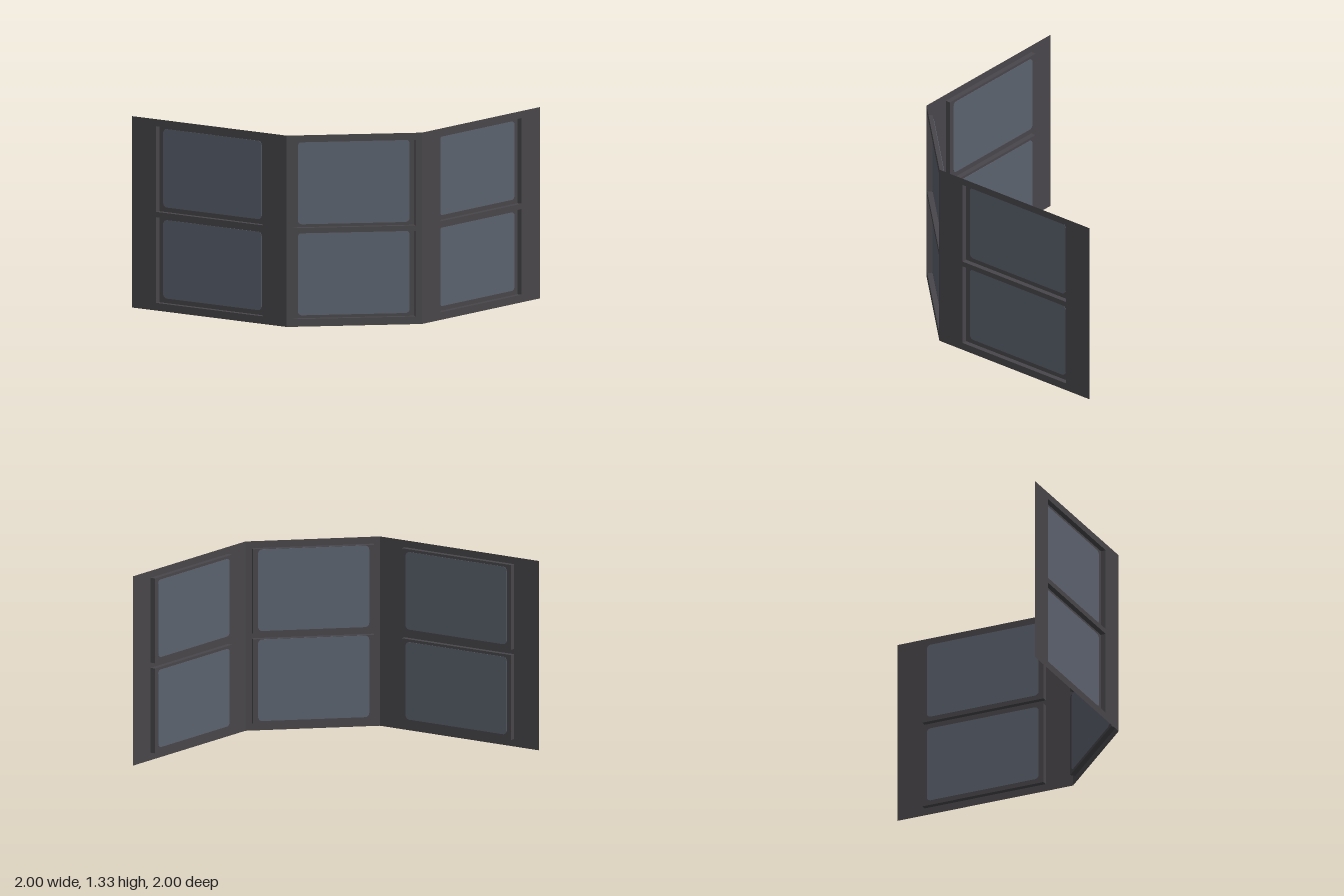
import * as THREE from 'three';

const HEIGHT = 1.333, DEPTH = 0.037;

const wallMaterial = new THREE.MeshStandardMaterial({ color: 0x48464a, side: THREE.DoubleSide });
wallMaterial.name = 'charcoal wall';
const glassMaterial = new THREE.MeshStandardMaterial({ color: 0x5b626e, side: THREE.DoubleSide });
glassMaterial.name = 'slate glass';

// Lower and upper window openings
const ROWS = [{ name: 'lower', y0: 0.053, y1: 0.65 }, { name: 'upper', y0: 0.687, y1: 1.284 }];

function mesh(name, geometry, material) {
  const m = new THREE.Mesh(geometry, material);
  m.name = name;
  return m;
}

function rectPath(w, y0, y1, path = new THREE.Path()) {
  path.moveTo(-w / 2, y0).lineTo(w / 2, y0).lineTo(w / 2, y1).lineTo(-w / 2, y1).closePath();
  return path;
}

// Thin pane with rounded corners
function paneGeometry(w, y0, y1, r = 0.03) {
  const s = new THREE.Shape(), x = w / 2;
  s.moveTo(-x + r, y0);
  s.lineTo(x - r, y0).absarc(x - r, y0 + r, r, -Math.PI / 2, 0);
  s.lineTo(x, y1 - r).absarc(x - r, y1 - r, r, 0, Math.PI / 2);
  s.lineTo(-x + r, y1).absarc(-x + r, y1 - r, r, Math.PI / 2, Math.PI);
  s.lineTo(-x, y0 + r).absarc(-x + r, y0 + r, r, Math.PI, Math.PI * 1.5);
  return new THREE.ExtrudeGeometry(s, { depth: 0.006, bevelEnabled: false, curveSegments: 5 });
}

// Recessed tray: a box whose front face is left out
function trayGeometry(w, y0, y1) {
  const g = new THREE.BoxGeometry(w, y1 - y0, DEPTH);
  const index = Array.from(g.index.array);
  index.splice(24, 6);
  g.setIndex(index);
  g.clearGroups();
  return g.translate(0, (y0 + y1) / 2, -DEPTH / 2);
}

// One wall, facing +z, with two recessed windows
function buildWall({ name, width, opening, glass, low, high }) {
  const wall = new THREE.Group();
  wall.name = name;
  const sheet = rectPath(width, 0, HEIGHT, new THREE.Shape());
  for (const row of ROWS) {
    sheet.holes.push(rectPath(opening, row.y0, row.y1));
    wall.add(mesh(row.name + 'WindowRecess', trayGeometry(opening, row.y0, row.y1), wallMaterial));
    const pane = mesh(row.name + 'Pane', paneGeometry(glass, row.y0 + low, row.y1 - high), glassMaterial);
    pane.position.z = -DEPTH - 0.003;
    wall.add(pane);
  }
  wall.add(mesh('wallSheet', new THREE.ShapeGeometry(sheet), wallMaterial));
  return wall;
}

export function createModel() {
  const model = new THREE.Group();
  model.name = 'foldedWindowWall';

  const side = { width: 1.337, opening: 0.922, glass: 0.85, low: 0.032, high: 0.019 };
  const front = buildWall({ name: 'frontWall', ...side });
  front.position.set(0.3315, 0, 1);

  const corner = buildWall({
    name: 'cornerWall', width: 0.663 * Math.SQRT2, opening: 0.845, glass: 0.775, low: 0.02, high: 0.002
  });
  corner.position.set(-0.6685, 0, 0.6685);
  corner.rotation.y = -Math.PI / 4;

  const right = buildWall({ name: 'rightWall', ...side });
  right.position.set(-1, 0, -0.3315);
  right.rotation.y = -Math.PI / 2;

  model.add(front, corner, right);
  return model;
}
